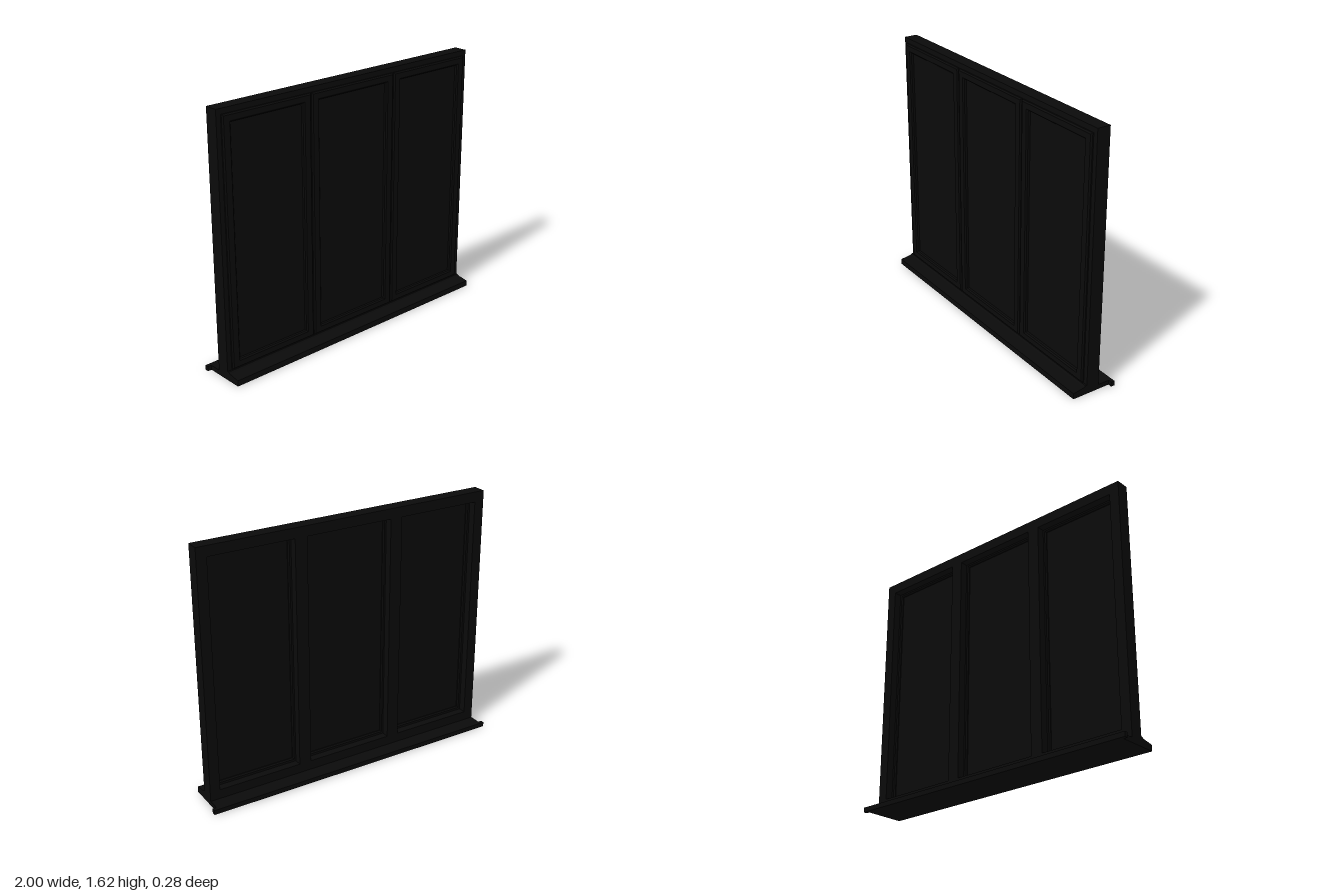
import * as THREE from 'three';

const frameMaterial = new THREE.MeshStandardMaterial({ color: 0x0a0a0a });

// Traces a rectangle onto a Shape or Path
function rect(path, x0, x1, y0, y1) {
  path.moveTo(x0, y0);
  path.lineTo(x1, y0);
  path.lineTo(x1, y1);
  path.lineTo(x0, y1);
  path.closePath();
  return path;
}

function add(group, name, geometry) {
  const mesh = new THREE.Mesh(geometry, frameMaterial);
  mesh.name = name;
  group.add(mesh);
  return mesh;
}

// Closed (z, y) profile swept along x, centred on x = 0
function sweepX(points, length) {
  const shape = new THREE.Shape(points.map(([z, y]) => new THREE.Vector2(-z, y)));
  const geometry = new THREE.ExtrudeGeometry(shape, { depth: length, bevelEnabled: false });
  return geometry.translate(0, 0, -length / 2).rotateY(Math.PI / 2);
}

export function createModel() {
  const model = new THREE.Group();
  model.name = 'window';

  // Outer frame with two mullions
  const frame = rect(new THREE.Shape(), -0.975, 0.975, 0, 1.625);
  for (const [x0, x1] of [[-0.91, -0.365], [-0.285, 0.285], [0.365, 0.91]]) {
    frame.holes.push(rect(new THREE.Path(), x0, x1, 0.09, 1.56));
  }
  const frameGeometry = new THREE.ExtrudeGeometry(frame, { depth: 0.085, bevelEnabled: false });
  add(model, 'outerFrame', frameGeometry.translate(0, 0, -0.04));

  // Three sashes with chamfered edges, each holding a pane
  const bevel = 0.008;
  const border = 0.056;
  const bottom = 0.062;
  const top = 1.592;
  [[-0.945, -0.328], [-0.322, 0.322], [0.328, 0.945]].forEach(([x0, x1], i) => {
    const sash = new THREE.Group();
    sash.name = ['rightSash', 'middleSash', 'leftSash'][i];
    const shape = rect(new THREE.Shape(), x0, x1, bottom, top);
    shape.holes.push(rect(new THREE.Path(), x0 + border, x1 - border, bottom + border * 0.9, top - border * 0.9));
    const geometry = new THREE.ExtrudeGeometry(shape, {
      depth: 0.05 - 2 * bevel, bevelEnabled: true, bevelSegments: 1,
      bevelSize: bevel, bevelThickness: bevel, bevelOffset: -bevel,
    });
    add(sash, 'sashFrame', geometry.translate(0, 0, 0.01 + bevel));

    const pane = add(sash, 'pane', new THREE.BoxGeometry(x1 - x0 - border, top - bottom - border, 0.014));
    pane.position.set((x0 + x1) / 2, (bottom + top) / 2, 0.03);
    model.add(sash);
  });

  // Sloping outer sill
  add(model, 'outerSill', sweepX([
    [0.04, 0], [0.14, 0], [0.14, 0.037], [0.065, 0.05], [0.055, 0.058], [0.04, 0.058],
  ], 1.95));

  // Inner sill board with projecting horns along its edge
  const board = new THREE.Shape();
  [[-0.975, 0.04], [-0.975, 0.116], [-1, 0.116], [-1, 0.14], [1, 0.14], [1, 0.116], [0.975, 0.116], [0.975, 0.04]]
    .forEach(([x, y], i) => (i ? board.lineTo(x, y) : board.moveTo(x, y)));
  const boardGeometry = new THREE.ExtrudeGeometry(board, { depth: 0.03, bevelEnabled: false });
  add(model, 'innerSill', boardGeometry.rotateX(-Math.PI / 2));

  return model;
}
